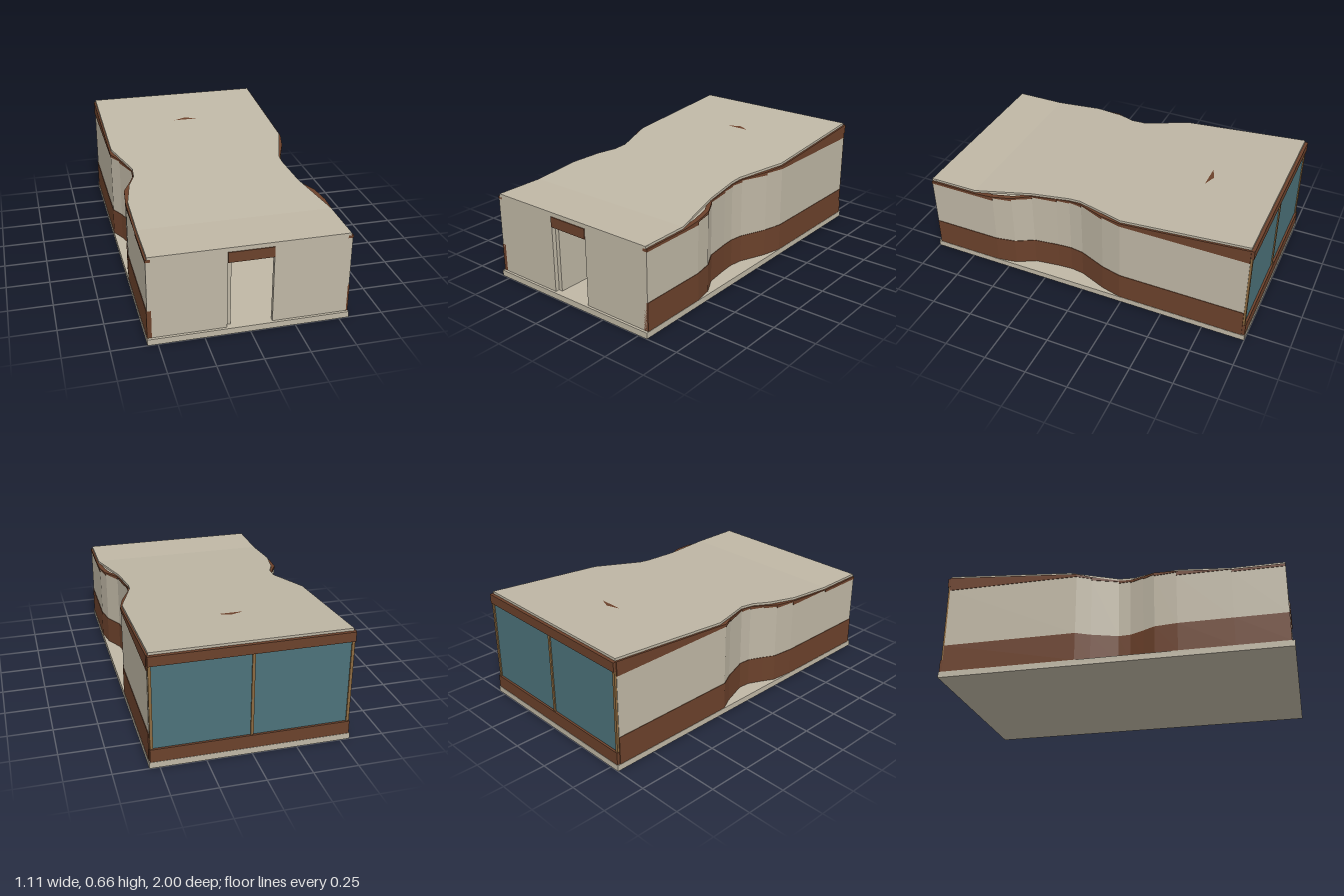
import * as THREE from 'three';

const mat = (name, color) => Object.assign(new THREE.MeshStandardMaterial({ color, side: THREE.DoubleSide }), { name });

// Flat-faced solid lofted through rectangles; rows run from back to front as [z, x0, x1, y0, y1].
function loft(rows) {
  const pos = [];
  const rings = rows.map(([z, a, b, y0, y1]) => {
    const l = Math.min(a, b), r = Math.max(a, b);
    return [[l, y0, z], [r, y0, z], [r, y1, z], [l, y1, z]];
  });
  const quad = (a, b, c, d) => pos.push(...a, ...b, ...c, ...a, ...c, ...d);
  for (let i = 0; i < rings.length - 1; i++) {
    const p = rings[i], q = rings[i + 1];
    for (let k = 0; k < 4; k++) quad(p[k], p[(k + 1) % 4], q[(k + 1) % 4], q[k]);
  }
  const first = rings[0], last = rings[rings.length - 1];
  quad(first[3], first[2], first[1], first[0]);
  quad(...last);
  const g = new THREE.BufferGeometry();
  g.setAttribute('position', new THREE.Float32BufferAttribute(pos, 3));
  g.computeVertexNormals();
  return g;
}

// Roof height: level over the entrance, then rising to the back.
const roofTop = z => 0.515 + Math.max(0, 0.69 - z) * 0.0868;

// Piecewise linear lookup of x along a [z, x] outline.
function xAt(line, z) {
  for (let i = 0; i < line.length - 1; i++) {
    const [z0, x0] = line[i], [z1, x1] = line[i + 1];
    if (z <= z1) return x0 + (x1 - x0) * (z - z0) / (z1 - z0);
  }
  return line[line.length - 1][1];
}

// Outlines in plan, back to front.
const wallLeft = [[-0.98, 0.551], [-0.24, 0.551], [-0.12, 0.522], [0.04, 0.458], [0.12, 0.447],
  [0.2, 0.453], [0.35, 0.473], [0.455, 0.53], [0.57, 0.551], [0.69, 0.551], [0.985, 0.551]];
const wallRight = [[-0.98, -0.551], [-0.2, -0.551], [-0.12, -0.51], [0.03, -0.458], [0.1, -0.463],
  [0.18, -0.5], [0.25, -0.537], [0.38, -0.551], [0.69, -0.551], [0.985, -0.551]];
const roofLeft = [[-0.98, 0.543], [-0.24, 0.543], [-0.12, 0.503], [0.05, 0.448], [0.12, 0.445],
  [0.35, 0.468], [0.69, 0.543], [0.985, 0.543]];
const roofRight = [[-0.98, -0.543], [-0.24, -0.543], [-0.12, -0.505], [0.03, -0.456], [0.12, -0.463],
  [0.22, -0.505], [0.4, -0.543], [0.985, -0.543]];

export function createModel() {
  const group = new THREE.Group();
  const plaster = mat('plaster', 0xbfb7a5);
  const brown = mat('brown cladding', 0x6b412b);
  const glass = mat('teal glass', 0x4c727a);
  const timber = mat('timber', 0x8c6a40);

  const add = (name, geo, material, parent = group) => {
    const m = new THREE.Mesh(geo, material);
    m.name = name;
    parent.add(m);
    return m;
  };
  // Box given by its limits
  const box = (name, material, x0, x1, y0, y1, z0, z1) => {
    const m = add(name, new THREE.BoxGeometry(x1 - x0, y1 - y0, z1 - z0), material);
    m.position.set((x0 + x1) / 2, (y0 + y1) / 2, (z0 + z1) / 2);
  };

  // Floor slab
  box('floorSlab', plaster, -0.556, 0.556, 0, 0.035, -1, 1);

  // Curving side walls: plinth, plaster and stepped header under the roof
  for (const [label, line, s] of [['left', wallLeft, 1], ['right', wallRight, -1]]) {
    const wall = new THREE.Group();
    wall.name = label + 'Wall';
    group.add(wall);
    add('plinth', loft(line.map(([z, x]) => [z, x + s * 0.003, x - s * 0.022, 0.035, 0.2])), brown, wall);
    for (let i = 0; i < line.length - 1; i++) {
      const seg = [line[i], line[i + 1]];
      const mid = (seg[0][0] + seg[1][0]) / 2;
      const step = mid < -0.2 ? 0.562 : mid > 0.57 ? 0.485 : Math.min(0.562, roofTop(mid) - 0.028);
      add('wallPanel', loft(seg.map(([z, x]) => [z, x, x - s * 0.02, 0.2, step])), plaster, wall);
      add('header', loft(seg.map(([z, x]) =>
        [z, x + s * 0.003, x - s * 0.025, step, roofTop(z) - 0.014])), brown, wall);
    }
  }

  // Roof follows the waists of the walls
  const zs = [...new Set([...roofLeft, ...roofRight].map(p => p[0]))].sort((a, b) => a - b);
  add('roof', loft(zs.map(z =>
    [z, xAt(roofRight, z), xAt(roofLeft, z), roofTop(z) - 0.014, roofTop(z)])), plaster);

  // Wall tip showing through the roof
  const tip = new THREE.BufferGeometry();
  tip.setAttribute('position', new THREE.Float32BufferAttribute(
    [-0.075, roofTop(-0.56) + 0.002, -0.56, 0.075, roofTop(-0.56) + 0.002, -0.56, 0, roofTop(-0.59) + 0.002, -0.59], 3));
  tip.computeVertexNormals();
  add('roofTip', tip, brown);

  // Front wall with doorway
  for (const s of [-1, 1]) {
    box('frontWall', plaster, s < 0 ? -0.544 : 0.125, s < 0 ? -0.125 : 0.544, 0.035, 0.49, 0.96, 0.985);
  }
  box('frontFascia', plaster, -0.544, 0.544, 0.49, 0.513, 0.96, 0.985);
  box('doorLintel', brown, -0.125, 0.125, 0.43, 0.49, 0.96, 0.99);

  // Interior partitions
  box('entrancePartition', plaster, -0.125, -0.1, 0.035, 0.43, 0.3, 0.96);
  box('crossPartition', plaster, -0.1, 0.05, 0.035, 0.41, 0.28, 0.3);
  box('partitionCap', brown, -0.1, 0.05, 0.41, 0.425, 0.28, 0.302);

  // Glazed back wall
  box('backSill', brown, -0.55, 0.55, 0.035, 0.11, -0.998, -0.972);
  box('backGlass', glass, -0.54, 0.54, 0.11, 0.6, -0.985, -0.978);
  box('backBeam', brown, -0.55, 0.55, 0.59, 0.645, -0.998, -0.975);
  for (const x of [-0.54, 0, 0.54]) {
    box('backMullion', timber, x - 0.008, x + 0.008, 0.11, 0.59, -0.992, -0.976);
  }
  return group;
}
